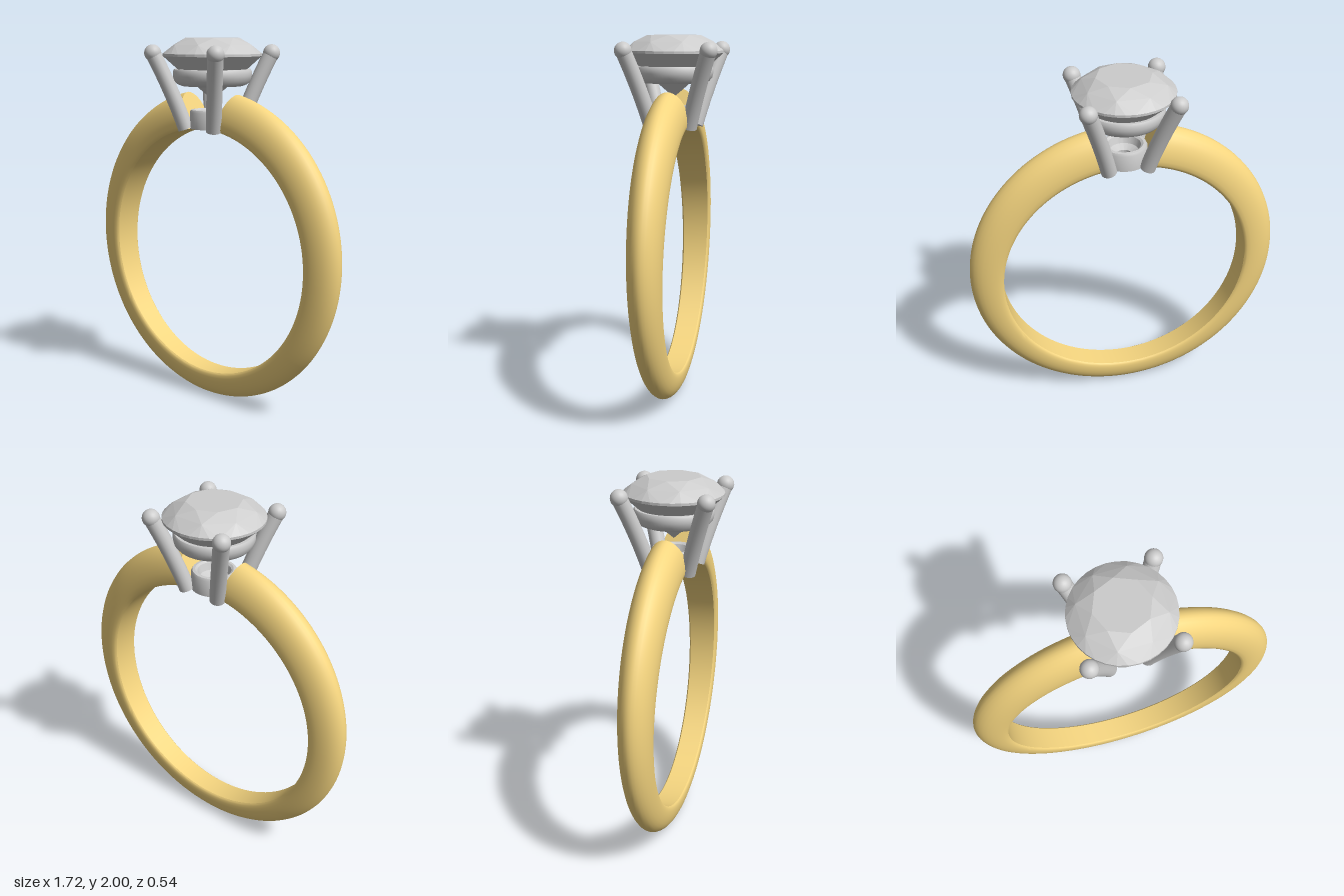
import * as THREE from 'three';
import { toCreasedNormals } from 'three/addons/utils/BufferGeometryUtils.js';
import { ConvexGeometry } from 'three/addons/geometries/ConvexGeometry.js';

const metal = new THREE.MeshStandardMaterial({ color: 0xcccccc });
const gold = new THREE.MeshStandardMaterial({ color: 0xf5d57f });
const stoneMat = new THREE.MeshStandardMaterial({ color: 0xcccccc, flatShading: true });

function part(name, geometry, material) {
  const mesh = new THREE.Mesh(geometry, material);
  mesh.name = name;
  return mesh;
}

// Tapering D-section band, swept clockwise from one side of the head to the other
function bandGeometry() {
  // [depth from inner (0) to outer (1), relative half width]
  const half = [[0, 0.86], [0.03, 0.93], [0.09, 0.98], [0.2, 1], [0.35, 0.98], [0.5, 0.92],
    [0.65, 0.82], [0.78, 0.68], [0.88, 0.51], [0.95, 0.33], [0.99, 0.15]];
  const section = [...half, [1, 0], ...half.slice().reverse().map(([t, w]) => [t, -w])];
  const n = section.length, steps = 128, pos = [], idx = [];

  const point = (u, t, w) => {
    const start = 0.15 + 0.06 * t;
    const a = start + (2 * Math.PI - 2 * start) * u;
    const r = 0.685 + 0.175 * t, cy = 0.835 + 0.03 * t;
    const width = 0.07 + 0.032 * (1 + Math.cos(a)) / 2;
    pos.push(r * Math.sin(a), cy + r * Math.cos(a), w * width);
  };
  for (let i = 0; i <= steps; i++) section.forEach(([t, w]) => point(i / steps, t, w));
  for (let i = 0; i < steps; i++) {
    for (let j = 0; j < n; j++) {
      const a = i * n + j, b = i * n + (j + 1) % n;
      idx.push(a, a + n, b, b, a + n, b + n);
    }
  }
  // End caps
  const c = (steps + 1) * n, last = steps * n;
  point(0, 0.4, 0);
  point(1, 0.4, 0);
  for (let j = 0; j < n; j++) {
    const k = (j + 1) % n;
    idx.push(c, j, k, c + 1, last + k, last + j);
  }
  const g = new THREE.BufferGeometry();
  g.setAttribute('position', new THREE.Float32BufferAttribute(pos, 3));
  g.setIndex(idx);
  return toCreasedNormals(g, 0.7);
}

// Round brilliant: table, crown, girdle, pavilion and culet as a faceted hull
function stoneGeometry() {
  const pts = [new THREE.Vector3(0, 1.67, 0)];
  const ring = (count, r, y, turn = 0) => {
    for (let i = 0; i < count; i++) {
      const a = (i + turn) / count * Math.PI * 2;
      pts.push(new THREE.Vector3(r * Math.sin(a), y, r * Math.cos(a)));
    }
  };
  ring(8, 0.145, 2.0);
  ring(8, 0.218, 1.965, 0.5);
  ring(32, 0.266, 1.918);
  ring(32, 0.266, 1.905);
  ring(8, 0.055, 1.715, 0.5);
  return new ConvexGeometry(pts);
}

function lathe(profile) {
  const points = profile.map(([r, y]) => new THREE.Vector2(r, y));
  return toCreasedNormals(new THREE.LatheGeometry(points, 64), 0.6);
}

// One claw, leaning outward towards (sx, sz)
function prong(sx, sz) {
  const g = new THREE.Group();
  g.name = 'prong';
  const at = (d, y) => new THREE.Vector3(d * sx, y, d * sz);
  const path = new THREE.QuadraticBezierCurve3(at(0.102, 1.515), at(0.15, 1.71), at(0.225, 1.92));
  g.add(part('prongShaft', new THREE.TubeGeometry(path, 16, 0.042, 20), metal));

  const tip = part('prongTip', new THREE.SphereGeometry(0.046, 24, 16), metal);
  tip.position.copy(path.getPoint(1));
  g.add(tip);

  const foot = part('prongFoot', new THREE.CircleGeometry(0.042, 20), metal);
  foot.position.copy(path.getPoint(0));
  foot.quaternion.setFromUnitVectors(new THREE.Vector3(0, 0, 1), path.getTangent(0).negate());
  g.add(foot);
  return g;
}

export function createModel() {
  const model = new THREE.Group();
  model.name = 'ring';
  model.add(part('band', bandGeometry(), gold));

  // Head that carries the stone
  const head = new THREE.Group();
  head.name = 'head';
  head.add(part('baseCollar', lathe([[0.038, 1.517], [0.122, 1.517], [0.122, 1.605], [0.115, 1.618],
    [0.1, 1.62], [0.088, 1.612], [0.075, 1.575], [0.038, 1.555], [0.038, 1.517]]), metal));
  head.add(part('galleryRing', lathe([[0.13, 1.747], [0.165, 1.747], [0.19, 1.757], [0.206, 1.775],
    [0.212, 1.8], [0.212, 1.825], [0.205, 1.836], [0.188, 1.836], [0.13, 1.783], [0.13, 1.747]]), metal));
  for (const sx of [-1, 1]) for (const sz of [-1, 1]) head.add(prong(sx, sz));
  model.add(head);

  model.add(part('stone', stoneGeometry(), stoneMat));
  return model;
}
